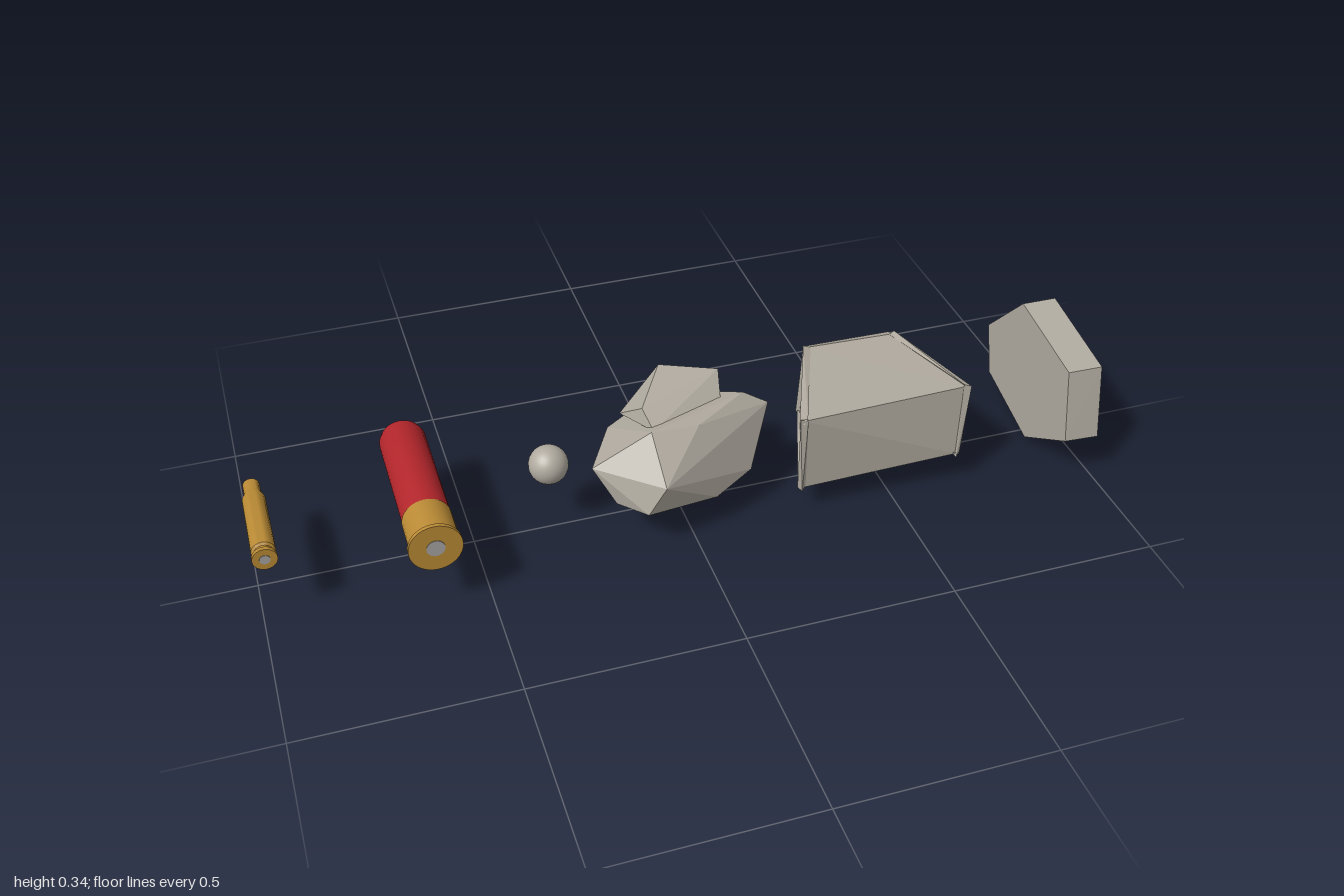
import * as THREE from 'three';
import { toCreasedNormals } from 'three/addons/utils/BufferGeometryUtils.js';
import { ConvexGeometry } from 'three/addons/geometries/ConvexGeometry.js';

const material = (name, color) => {
  const m = new THREE.MeshStandardMaterial({ color });
  m.name = name;
  return m;
};

export function createModel() {
  const stone = material('stone grey', 0xb0aa9f);
  const brass = material('brass', 0xb98a35);
  const red = material('red plastic', 0xb3262b);
  const steel = material('primer steel', 0xa6a5a3);
  const root = new THREE.Group();
  root.name = 'ammunitionAndDebris';

  const add = (parent, name, geometry, mat) => {
    const mesh = new THREE.Mesh(geometry, mat);
    mesh.name = name;
    parent.add(mesh);
    return mesh;
  };
  const group = (name, x, y, z) => {
    const g = new THREE.Group();
    g.name = name;
    g.position.set(x, y, z);
    root.add(g);
    return g;
  };
  // turned part lying along z; the profile is [radius, z]
  const turned = (profile, sides) => {
    const lathe = new THREE.LatheGeometry(profile.map(([r, z]) => new THREE.Vector2(r, z)), sides);
    return toCreasedNormals(lathe.rotateX(Math.PI / 2), 0.6);
  };
  const hull = (points) => new ConvexGeometry(points.map((p) => new THREE.Vector3(...p)));
  const primer = (r, z) => new THREE.CylinderGeometry(r, r, 0.004, 20).rotateX(Math.PI / 2).translate(0, 0, z);

  // small bottleneck cartridge case, open at the back
  const casing = group('rifleCasing', -0.973, 0.18, 0);
  add(casing, 'casingBody', turned([
    [0, 0.09], [0.014, 0.09], [0.014, -0.14], [0.019, -0.14], [0.019, -0.105], [0.026, -0.085],
    [0.027, 0.1], [0.022, 0.105], [0.022, 0.114], [0.028, 0.117], [0.028, 0.127], [0, 0.127],
  ], 24), brass);
  add(casing, 'casingPrimer', primer(0.012, 0.1265), steel);

  // shotgun shell: red hull with a recessed mouth, brass head with a rim
  const shell = group('shotgunShell', -0.615, 0.18, 0);
  add(shell, 'shellHull', turned([
    [0, -0.165], [0.033, -0.165], [0.036, -0.21], [0.042, -0.216], [0.05, -0.212],
    [0.055, -0.198], [0.055, 0.11], [0, 0.11],
  ], 32), red);
  add(shell, 'shellHead', turned([
    [0.05, 0.1], [0.0565, 0.1], [0.0565, 0.19], [0.061, 0.193], [0.061, 0.203], [0, 0.203],
  ], 32), brass);
  add(shell, 'shellPrimer', primer(0.021, 0.2025), steel);

  // pellet
  add(group('pellet', -0.31, 0.18, -0.008), 'pelletBall', new THREE.SphereGeometry(0.047, 28, 18), stone);

  // faceted rock with a raised wedge on top
  const rock = group('rock', 0, 0, 0);
  add(rock, 'rockBody', hull([
    [-0.22, 0.185, 0.045], [-0.085, 0.28, 0.075], [0.165, 0.28, -0.01], [0.225, 0.245, 0],
    [-0.08, 0.19, 0.175], [-0.12, 0.115, 0.165], [0.16, 0.115, 0.075], [0.06, 0.09, 0.12],
    [-0.175, 0.105, 0.09], [-0.145, 0.19, -0.09], [0.0, 0.23, -0.145], [0.13, 0.2, -0.085],
    [-0.1, 0.025, -0.05], [0.0, 0.016, -0.125], [0.05, 0.03, -0.06], [-0.08, 0.04, 0.06],
    [0.03, 0.27, 0.07],
  ]), stone);
  add(rock, 'rockTopWedge', hull([
    [-0.085, 0.295, 0.0], [0.125, 0.312, -0.075], [0.0, 0.302, -0.148], [-0.075, 0.27, 0.06],
    [0.11, 0.27, -0.01], [-0.12, 0.24, -0.07], [0.12, 0.24, -0.08], [0, 0.22, -0.145],
  ]), stone);

  // wedge-shaped chunk with thin jagged edges
  const chunk = group('wedgeChunk', 0, 0, 0);
  const top = [[0.262, 0.277, 0.138], [0.68, 0.276, 0.125], [0.598, 0.276, -0.137], [0.375, 0.28, -0.138]];
  const base = [[0.268, 0.075, 0.132], [0.663, 0.09, 0.14], [0.594, 0.085, -0.135], [0.365, 0.09, -0.135]];
  add(chunk, 'chunkCore', hull([...top, ...base]), stone);
  const splinter = (name, a, b, size) => {
    const [ax, ay, az] = a, [bx, by, bz] = b, s = size;
    add(chunk, name, hull([
      [ax - s, ay + s * 0.7, az], [ax + s, ay, az + s * 0.4], [ax, ay - s, az - s],
      [bx + s, by + s * 0.5, bz], [bx - s, by, bz - s * 0.6], [bx, by - s, bz + s * 0.4],
    ]), stone);
  };
  for (const [i, j] of [[1, 2], [2, 3], [3, 0]]) {
    splinter('topSplinter', top[i], top[j], 0.009);
    splinter('baseSplinter', base[i], base[j], 0.008);
  }
  for (const i of [0, 1, 2, 3]) splinter('cornerSplinter', top[i], base[i], 0.009);

  // upright six-sided slab; outline is [z, y]
  const outline = [[0.183, 0.302], [-0.063, 0.345], [-0.213, 0.186], [-0.178, 0.06], [0.037, 0.001], [0.217, 0.12]];
  add(group('slab', 0, 0, 0), 'hexSlab', hull([
    ...outline.map(([z, y]) => [0.999, y, z]),
    ...outline.map(([z, y]) => [0.914, y * 0.985 + 0.003, z - 0.004]),
  ]), stone);

  return root;
}
